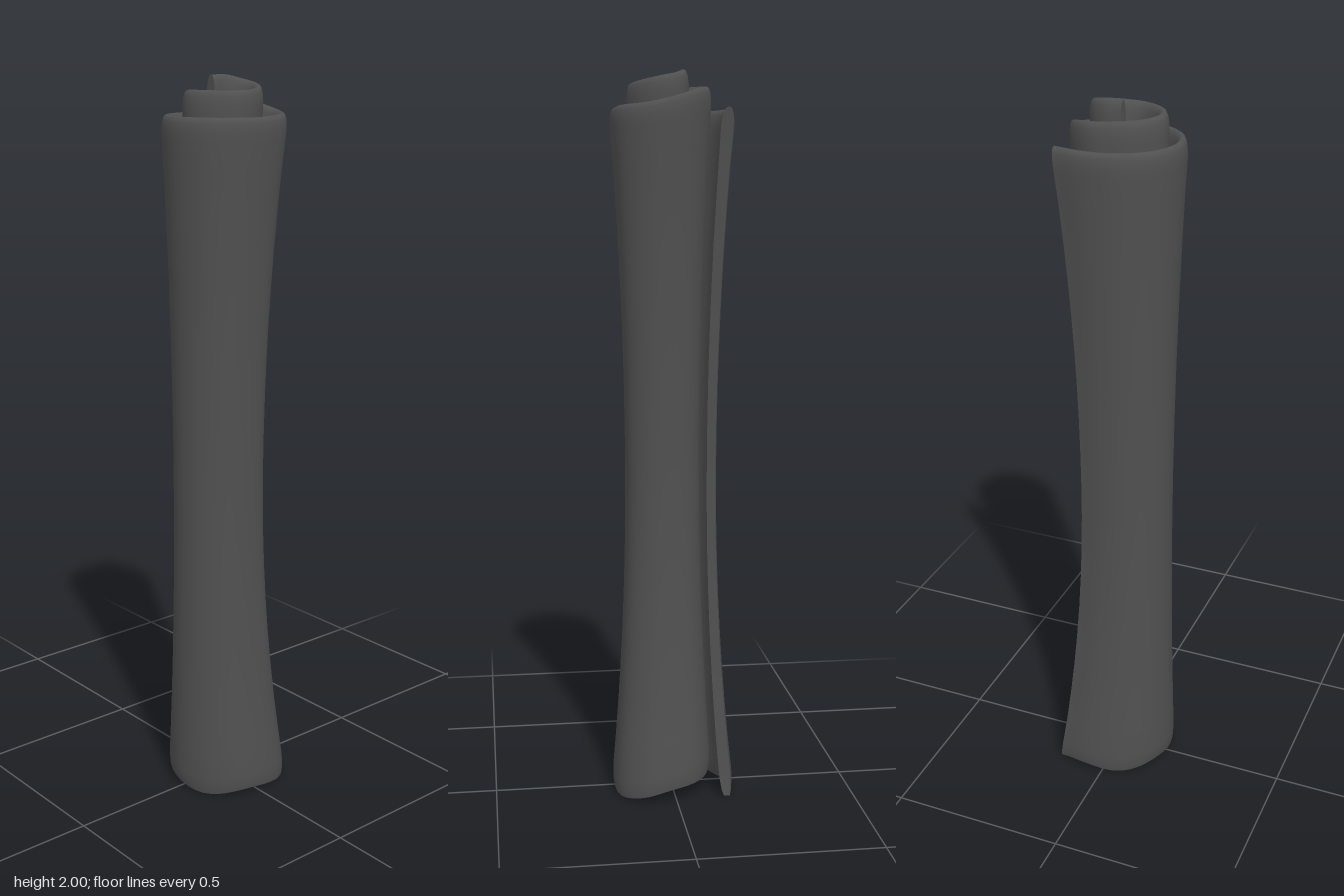
import * as THREE from 'three';
import { toCreasedNormals } from 'three/addons/utils/BufferGeometryUtils.js';

// Spiral centre line at the upper end, from the loose flap inwards: [x, z, upward shift]
const SPIRAL = [
  [0.118, -0.134, 0], [0.04, -0.148, 0], [-0.04, -0.137, 0], [-0.11, -0.09, 0], [-0.145, -0.01, 0],
  [-0.13, 0.07, 0], [-0.075, 0.128, 0], [0, 0.146, 0], [0.08, 0.132, 0.005], [0.122, 0.075, 0.01],
  [0.122, 0.01, 0.025], [0.1, -0.05, 0.045], [0.05, -0.085, 0.055], [-0.01, -0.083, 0.06], [-0.07, -0.05, 0.062],
  [-0.1, 0, 0.065], [-0.08, 0.062, 0.065], [-0.02, 0.1, 0.065], [0.04, 0.086, 0.07], [0.075, 0.04, 0.08],
  [0.067, -0.005, 0.09], [0.035, -0.028, 0.1], [-0.015, -0.028, 0.1],
];

// Sheet levels from bottom to top: [height, half thickness]
const LEVELS = [[0, 0.008], [0.015, 0.012], [0.05, 0.015]];
for (let y = 0.15; y < 1.8; y += 0.1) LEVELS.push([y, 0.0155]);
LEVELS.push([1.84, 0.0165], [1.865, 0.0155], [1.885, 0.012], [1.897, 0.007], [1.9, 0.002]);

// Waisted outline: scale and sideways drift at a height
function waist(y) {
  const k = ((y - 0.9) / 0.9) ** 2;
  return y < 0.9
    ? { scale: 0.77 + 0.29 * k, drift: -0.018 + 0.03 * k }
    : { scale: 0.77 + 0.21 * k, drift: -0.018 + 0.016 * k };
}

function rolledSheet(stations) {
  const curve = new THREE.CatmullRomCurve3(SPIRAL.map(([x, z, up]) => new THREE.Vector3(x, up, z)));
  const m = LEVELS.length, loop = 2 * m;
  const positions = [], index = [];
  for (let i = 0; i <= stations; i++) {
    const u = i / stations;
    const p = curve.getPointAt(u), t = curve.getTangentAt(u);
    const len = Math.hypot(t.x, t.z);
    const nx = -t.z / len, nz = t.x / len;
    // up the outer face, then down the inner face
    for (let j = 0; j < loop; j++) {
      const outer = j < m;
      const [h, half] = LEVELS[outer ? j : loop - 1 - j];
      const { scale, drift } = waist(h);
      const off = outer ? half : -half;
      const ripple = 0.007 * (1 + Math.sin(u * 40)) * Math.max(0, 1 - h / 0.15);
      positions.push((p.x + nx * off) * scale + drift, h + p.y + ripple, (p.z + nz * off) * scale);
    }
  }
  const quad = (a, b, c, d) => index.push(a, b, c, a, c, d);
  for (let i = 0; i < stations; i++) {
    for (let j = 0; j < loop; j++) {
      const k = (j + 1) % loop, a = i * loop, b = a + loop;
      quad(a + j, b + j, b + k, a + k);
    }
  }
  // end strips of the sheet
  const last = stations * loop;
  for (let j = 0; j < m - 1; j++) {
    const q = loop - 1 - j;
    quad(j, j + 1, q - 1, q);
    quad(last + q, last + q - 1, last + j + 1, last + j);
  }
  const geometry = new THREE.BufferGeometry();
  geometry.setAttribute('position', new THREE.Float32BufferAttribute(positions, 3));
  geometry.setIndex(index);
  return toCreasedNormals(geometry, 0.9);
}

export function createModel() {
  const group = new THREE.Group();
  group.name = 'scroll';
  const sheet = new THREE.Mesh(rolledSheet(110), new THREE.MeshStandardMaterial({ color: 0x505050 }));
  sheet.name = 'rolledSheet';
  group.add(sheet);
  return group;
}
